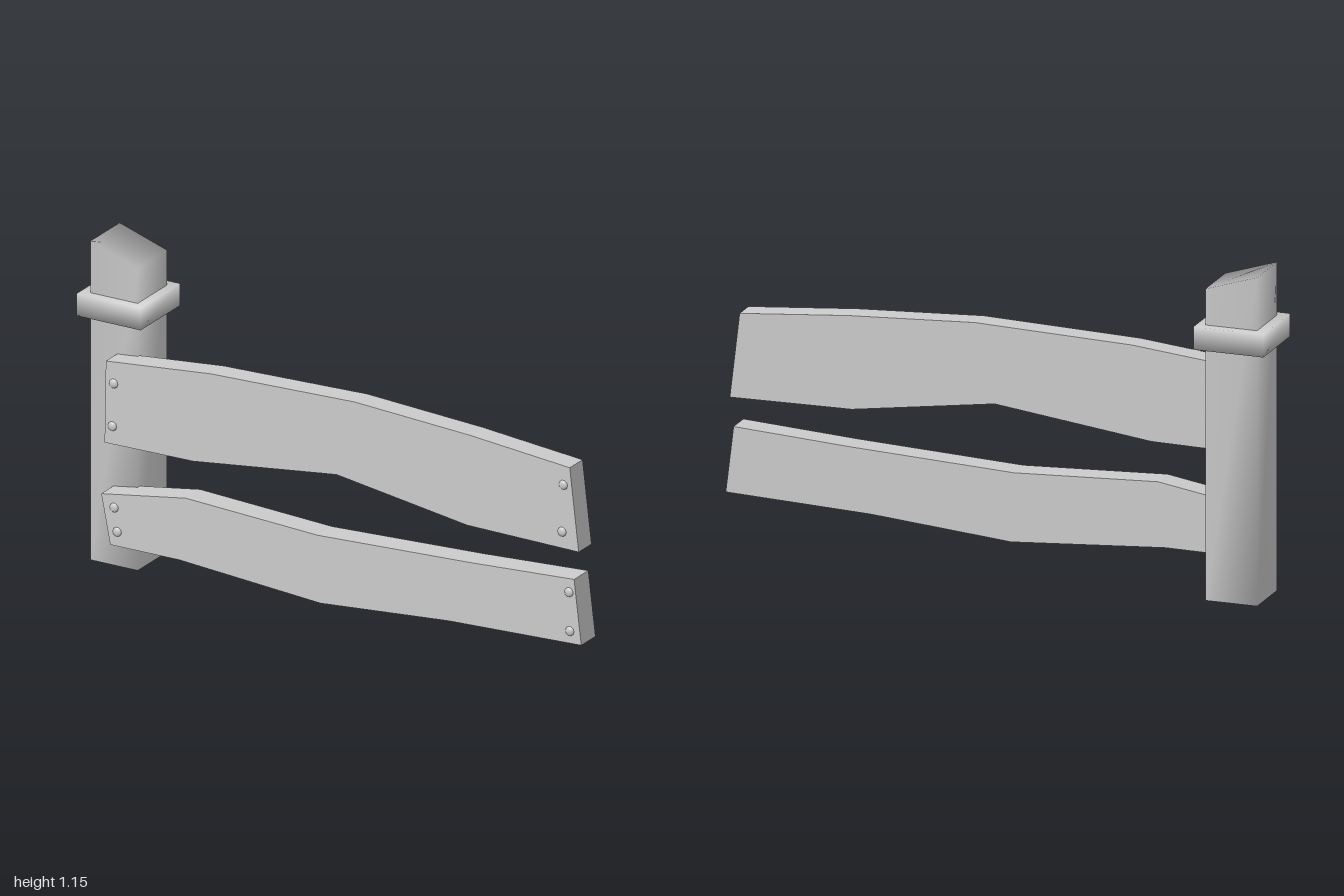
import * as THREE from 'three';
import { mergeVertices } from 'three/addons/utils/BufferGeometryUtils.js';

const material = new THREE.MeshStandardMaterial({ color: 0xcccccc });

// Box whose corners share normals, giving soft shading across the edges
function softBox(w, h, d, reshape) {
  let geo = new THREE.BoxGeometry(w, h, d);
  geo.deleteAttribute('normal');
  geo.deleteAttribute('uv');
  geo = mergeVertices(geo);
  if (reshape) reshape(geo.attributes.position);
  geo.computeVertexNormals();
  return geo;
}

function add(parent, name, geo, x = 0, y = 0, z = 0) {
  const mesh = new THREE.Mesh(geo, material);
  mesh.name = name;
  mesh.position.set(x, y, z);
  parent.add(mesh);
  return mesh;
}

// Plank cut from an outline, with a nail head at each given point
function plank(name, outline, zBack, zFront, nails) {
  const group = new THREE.Group();
  group.name = name;
  const shape = new THREE.Shape(outline.map(([x, y]) => new THREE.Vector2(x, y)));
  const board = new THREE.ExtrudeGeometry(shape, { depth: zFront - zBack, bevelEnabled: false });
  add(group, 'board', board, 0, 0, zBack);
  const head = new THREE.SphereGeometry(0.017, 10, 4, 0, Math.PI * 2, 0, Math.PI / 2);
  head.rotateX(Math.PI / 2);
  head.scale(1, 1, 0.5);
  for (const [x, y] of nails) add(group, 'nail', head, x, y, zFront);
  return group;
}

export function createModel() {
  const model = new THREE.Group();

  // Square post with a slanted top
  const post = softBox(0.185, 1.12, 0.19, (p) => {
    for (let i = 0; i < p.count; i++) {
      if (p.getY(i) > 0) p.setY(i, p.getX(i) < 0 ? 0.59 : 0.53);
    }
  });
  add(model, 'post', post, -0.8725, 0.56, -0.025);

  // Collar around the post
  add(model, 'collar', softBox(0.25, 0.08, 0.255), -0.875, 0.924, -0.0265);

  // Crooked rails, outlines clockwise from the upper left
  model.add(plank('upperRail', [
    [-0.86, 0.765], [-0.45, 0.805], [0.11, 0.822], [0.56, 0.797], [0.95, 0.762],
    [0.985, 0.465], [0.55, 0.47], [0.04, 0.545], [-0.52, 0.475], [-0.865, 0.47],
  ], 0.06, 0.143, [[-0.83, 0.69], [-0.835, 0.535], [0.925, 0.695], [0.92, 0.525]]));

  model.add(plank('lowerRail', [
    [-0.875, 0.285], [-0.545, 0.338], [-0.03, 0.313], [0.56, 0.34], [0.97, 0.365],
    [0.998, 0.133], [0.48, 0.112], [-0.02, 0.07], [-0.57, 0.11], [-0.84, 0.108],
  ], 0.056, 0.148, [[-0.825, 0.245], [-0.813, 0.16], [0.95, 0.315], [0.953, 0.175]]));

  return model;
}
